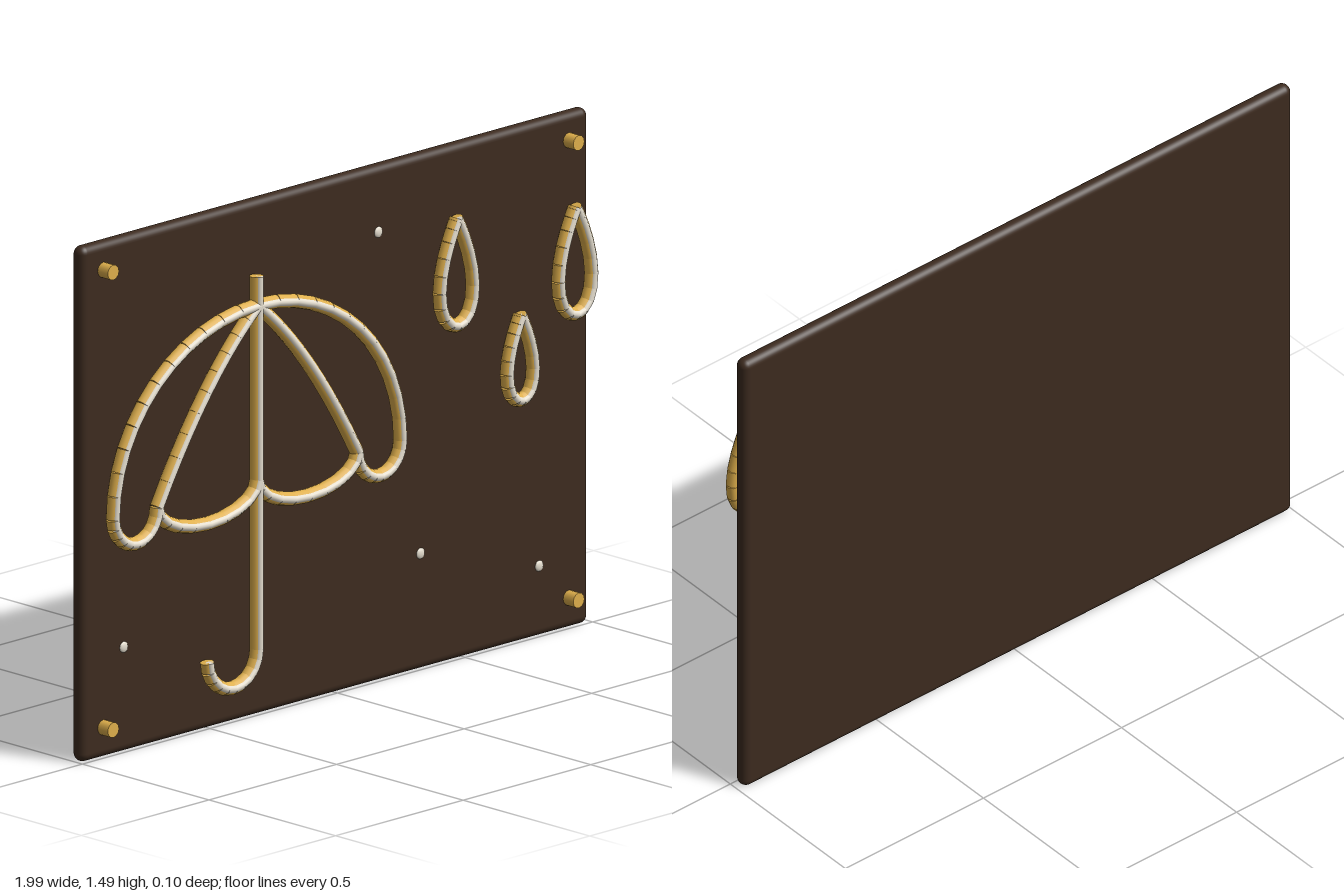
import * as THREE from 'three';
import { mergeGeometries } from 'three/addons/utils/BufferGeometryUtils.js';
import { RoundedBoxGeometry } from 'three/addons/geometries/RoundedBoxGeometry.js';

const material = (name, color) => {
  const m = new THREE.MeshStandardMaterial({ color });
  m.name = name;
  return m;
};

// Chain of short capped rods along a list of [x, y] points
function rodChain(points, radius, z) {
  const up = new THREE.Vector3(0, 1, 0);
  const rods = [];
  for (let i = 0; i < points.length - 1; i++) {
    const a = new THREE.Vector3(points[i][0], points[i][1], z);
    const b = new THREE.Vector3(points[i + 1][0], points[i + 1][1], z);
    const dir = b.clone().sub(a);
    const length = dir.length();
    const mid = a.clone().add(b).multiplyScalar(0.5);
    const rod = new THREE.CylinderGeometry(radius, radius, length, 12);
    rod.applyQuaternion(new THREE.Quaternion().setFromUnitVectors(up, dir.normalize()));
    rod.translate(mid.x, mid.y, mid.z);
    rods.push(rod);
  }
  return mergeGeometries(rods);
}

// Sample a rule t -> [x, y] over 0..1
const sample = (n, rule) => Array.from({ length: n + 1 }, (_, i) => rule(i / n));

// Elliptical arc from angle a0 to a1
const arc = (cx, cy, rx, ry, a0, a1, n) => sample(n, t => {
  const a = a0 + (a1 - a0) * t;
  return [cx + rx * Math.cos(a), cy + ry * Math.sin(a)];
});

export function createModel() {
  const group = new THREE.Group();
  const wood = material('dark brown', 0x3d2b1f);
  const gold = material('gold', 0xe0b04c);
  const pale = material('pale core', 0xe6dfd0);

  const add = (name, geometry, mat, parent = group) => {
    const mesh = new THREE.Mesh(geometry, mat);
    mesh.name = name;
    parent.add(mesh);
    return mesh;
  };

  // Gold tube with a pale strip set into its front
  const lightTube = (name, points) => {
    const tube = new THREE.Group();
    tube.name = name;
    add('goldTube', rodChain(points, 0.02, 0.025), gold, tube);
    add('paleStrip', rodChain(points, 0.012, 0.036), pale, tube);
    group.add(tube);
  };

  // Backing board
  add('board', new RoundedBoxGeometry(1.988, 1.494, 0.048, 4, 0.0235), wood)
    .position.set(-0.006, 0.747, -0.024);

  // Umbrella: canopy outline, scalloped hem, ribs, shaft and hook
  const cx = -0.342, hemY = 0.695, PI = Math.PI;
  lightTube('canopyArc', arc(cx, hemY, 0.563, 0.505, PI, 0, 24));
  for (const s of [-1, 1]) {
    const side = s < 0 ? 'right' : 'left';
    lightTube(side + 'InnerScallop', arc(cx + s * 0.196, hemY, 0.196, 0.088, PI, 2 * PI, 10));
    lightTube(side + 'OuterScallop', arc(cx + s * 0.4775, hemY, 0.0855, 0.088, PI, 2 * PI, 10));
    lightTube(side + 'Rib', sample(10, t => [
      cx + s * (2 * t * (1 - t) * 0.208 + t * t * 0.392),
      (1 - t) ** 2 * 1.2 + 2 * t * (1 - t) * 1.03 + t * t * hemY,
    ]));
  }
  lightTube('shaft', [[cx, 1.285], [cx, 0.205]]);
  lightTube('hook', arc(cx - 0.097, 0.205, 0.097, 0.095, 0, -PI, 10));

  // Raindrops: [x, bottom y, height, half width]
  [[0.44, 0.98, 0.31, 0.065], [0.69, 0.712, 0.247, 0.051], [0.905, 0.918, 0.31, 0.065]]
    .forEach(([x, y, h, w], i) => lightTube('raindrop' + (i + 1), sample(20, t => {
      const a = 2 * PI * t;
      return [x + (w / 0.77) * Math.sin(a) * Math.sin(a / 2), y + h * (1 + Math.cos(a)) / 2];
    })));

  // Corner standoffs
  for (const x of [-0.918, 0.906]) for (const y of [0.09, 1.416]) {
    const bolt = add('cornerStandoff', new THREE.CylinderGeometry(0.022, 0.022, 0.042, 12), gold);
    bolt.rotation.x = PI / 2;
    bolt.position.set(x, y, 0.019);
  }

  // Small studs on the board
  for (const [x, y] of [[0.16, 1.303], [-0.838, 0.306], [0.325, 0.338], [0.79, 0.206]]) {
    const stud = add('stud', new THREE.SphereGeometry(0.016, 10, 8), pale);
    stud.scale.z = 0.4;
    stud.position.set(x, y, 0);
  }
  return group;
}
